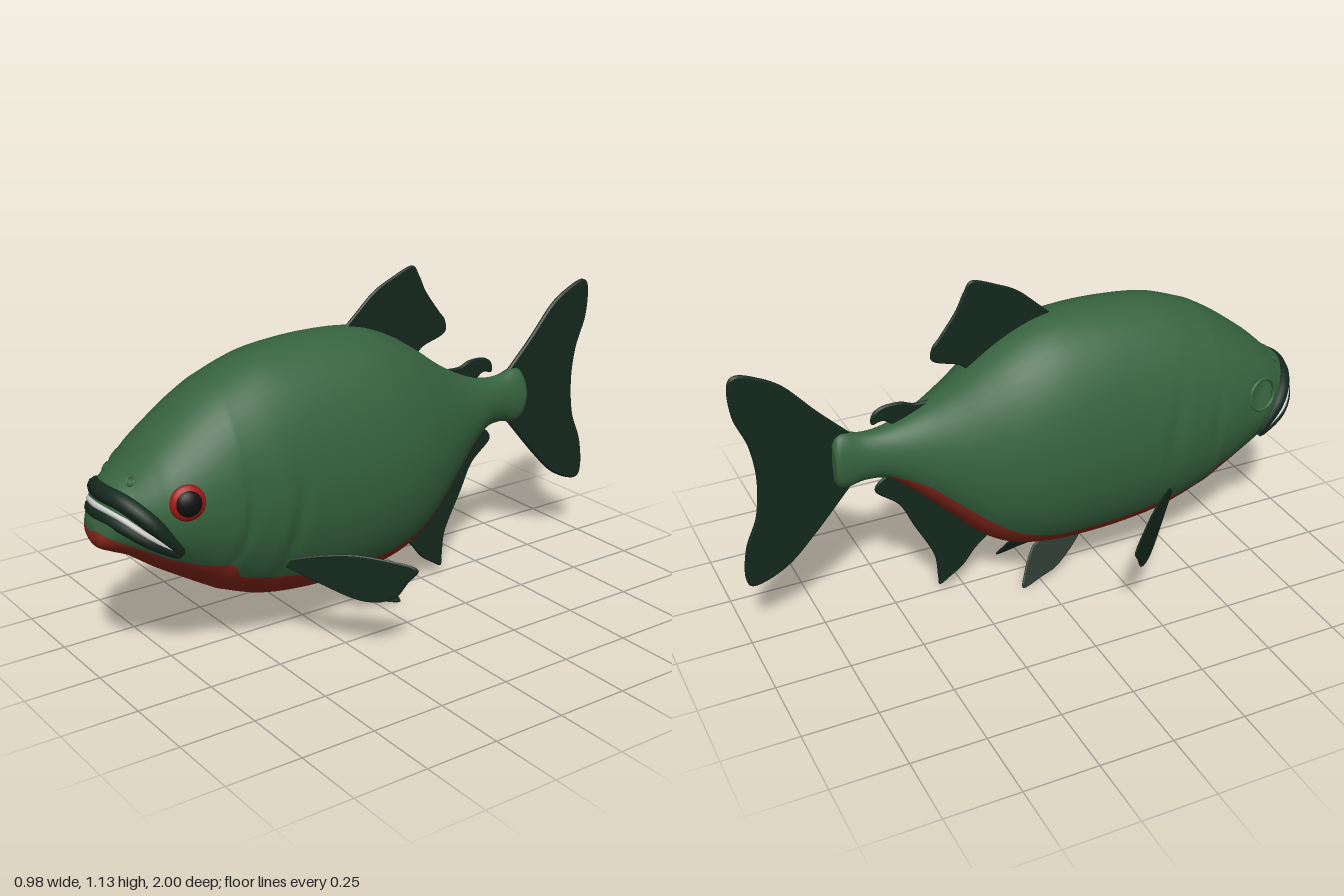
import * as THREE from 'three';

const mat = (color, side = THREE.FrontSide) =>
  new THREE.MeshStandardMaterial({ color, side, roughness: 0.8 });
const green = mat(0x36633f), red = mat(0x8f2a1c), dark = mat(0x14281c, THREE.DoubleSide);
const eyeRed = mat(0xa01515), black = mat(0x101010), white = mat(0xd8d8d8);

// Body stations, nose to tail: z, top y, bottom y, half width, y where the belly colour starts
const STATIONS = [
  [1.0, 0.52, 0.465, 0.04, 0.505], [0.985, 0.555, 0.44, 0.07, 0.495], [0.95, 0.635, 0.422, 0.11, 0.475],
  [0.9, 0.675, 0.4, 0.148, 0.45], [0.85, 0.722, 0.365, 0.178, 0.425], [0.8, 0.765, 0.33, 0.203, 0.4],
  [0.7, 0.84, 0.268, 0.23, 0.365], [0.62, 0.89, 0.22, 0.247, 0.35], [0.58, 0.91, 0.2, 0.25, 0.295],
  [0.45, 0.957, 0.152, 0.26, 0.265], [0.3, 0.977, 0.13, 0.264, 0.237], [0.15, 0.98, 0.125, 0.265, 0.225],
  [0.02, 0.965, 0.132, 0.257, 0.228], [-0.1, 0.917, 0.16, 0.235, 0.265], [-0.2, 0.855, 0.22, 0.2, 0.33],
  [-0.3, 0.785, 0.32, 0.155, 0.41], [-0.4, 0.73, 0.42, 0.105, 0.49], [-0.5, 0.695, 0.505, 0.066, 0.525],
  [-0.58, 0.69, 0.52, 0.048, 0.52], [-0.64, 0.707, 0.508, 0.045, 0.508], [-0.67, 0.7, 0.515, 0.045, 0.515],
  [-0.685, 0.675, 0.54, 0.04, 0.54],
];

const bump = (d, width) => Math.exp(-((d / width) ** 2));

// Gill creases and the hollow of the empty eye socket
function shapeSurface(x, y, z) {
  let f = 1;
  const sideOn = bump(y - 0.5, 0.17);
  f -= 0.045 * bump(z - 0.41 - 0.9 * (y - 0.53) ** 2, 0.018) * sideOn;
  f += 0.025 * bump(z - 0.46 - 0.9 * (y - 0.53) ** 2, 0.03) * sideOn;
  f -= 0.03 * bump(z - 0.58 - 1.5 * (y - 0.55) ** 2, 0.022) * sideOn;
  if (x < 0) f -= 0.09 * bump(Math.hypot(z - 0.78, y - 0.6), 0.04);
  return x * f;
}

// Lofted body, split into green back and red belly that share smooth normals
function makeBody() {
  const curve = (a, b) => new THREE.CatmullRomCurve3(
    STATIONS.map(s => new THREE.Vector3(s[0], s[a], s[b])), false, 'catmullrom', 0.5);
  const outline = curve(1, 2), girth = curve(3, 4);
  const rings = (STATIONS.length - 1) * 6, upper = 18, lower = 10;
  const half = upper + lower, n = half * 2;
  const pos = [], back = [], belly = [];
  for (let i = 0; i <= rings; i++) {
    const { x: z, y: top, z: bottom } = outline.getPoint(i / rings);
    const { y: w, z: split } = girth.getPoint(i / rings);
    const c = (top + bottom) / 2, b = (top - bottom) / 2;
    const edge = Math.acos(THREE.MathUtils.clamp((split - c) / b, -0.995, 0.995));
    for (let j = 0; j < n; j++) {
      const k = j <= half ? j : n - j;
      const a = k <= upper ? edge * k / upper : edge + (Math.PI - edge) * (k - upper) / lower;
      const y = c + b * Math.cos(a);
      const x = w * Math.sin(a) * (j <= half ? 1 : -1);
      pos.push(shapeSurface(x, y, z), y, z);
    }
  }
  const nose = pos.length / 3, end = nose + 1;
  pos.push(0, 0.495, 1.003, 0, 0.607, -0.688);
  for (let j = 0; j < n; j++) {
    const j2 = (j + 1) % n;
    const list = j >= upper && j < n - upper ? belly : back;
    list.push(nose, j2, j);
    back.push(end, rings * n + j, rings * n + j2);
    for (let i = 0; i < rings; i++) {
      const a = i * n + j, b = i * n + j2;
      list.push(a, b, a + n, b, b + n, a + n);
    }
  }
  const whole = new THREE.BufferGeometry();
  whole.setAttribute('position', new THREE.Float32BufferAttribute(pos, 3));
  whole.setIndex([...back, ...belly]);
  whole.computeVertexNormals();
  return [back, belly].map(index => whole.clone().setIndex(index));
}

// Thin fin cut from a smooth outline; corners listed in `sharp` stay pointed
function finPlate(points, thickness = 0.012) {
  const shape = new THREE.Shape();
  shape.moveTo(...points[0]);
  shape.splineThru(points.slice(1).map(p => new THREE.Vector2(...p)));
  shape.closePath();
  const bevel = thickness * 0.35;
  return new THREE.ExtrudeGeometry(shape, {
    depth: thickness - 2 * bevel, curveSegments: 40, bevelEnabled: true,
    bevelThickness: bevel, bevelSize: bevel, bevelOffset: -bevel, bevelSegments: 1,
  }).translate(0, 0, -thickness / 2 + bevel);
}
// Outline given as (z, y), standing in the plane of symmetry
const uprightFin = (points, t) => finPlate(points, t).rotateY(-Math.PI / 2);

function moveVertices(geometry, rule) {
  const p = geometry.attributes.position, v = new THREE.Vector3();
  for (let i = 0; i < p.count; i++) {
    rule(v.fromBufferAttribute(p, i), i);
    p.setXYZ(i, v.x, v.y, v.z);
  }
  geometry.computeVertexNormals();
  return geometry;
}

// Tube mirrored across x = 0 that thins out towards both mouth corners
function lip(halfPath, radius, tip) {
  const pts = [...halfPath.slice(1).reverse().map(([x, y, z]) => [-x, y, z]), ...halfPath];
  const curve = new THREE.CatmullRomCurve3(pts.map(p => new THREE.Vector3(...p)));
  const seg = 48, sides = 10;
  return moveVertices(new THREE.TubeGeometry(curve, seg, radius, sides), (v, i) => {
    const t = Math.floor(i / (sides + 1)) / seg;
    const c = curve.getPointAt(t);
    const k = tip + (1 - tip) * Math.sqrt(Math.sin(Math.PI * t));
    v.sub(c).multiplyScalar(k).add(c);
  });
}

export function createModel() {
  const fish = new THREE.Group();
  fish.name = 'fish';
  const add = (name, geometry, material, parent = fish) => {
    const mesh = new THREE.Mesh(geometry, material);
    mesh.name = name;
    parent.add(mesh);
    return mesh;
  };

  const [back, belly] = makeBody();
  add('back', back, green);
  add('belly', belly, red);

  // Mouth
  add('upperLip', lip([[0, 0.605, 0.945], [0.09, 0.593, 0.925], [0.16, 0.54, 0.875], [0.182, 0.43, 0.79]], 0.033, 0.3), dark);
  add('lowerLip', lip([[0, 0.545, 0.967], [0.09, 0.533, 0.943], [0.157, 0.487, 0.885], [0.18, 0.425, 0.795]], 0.028, 0.3), dark);
  add('teeth', lip([[0, 0.573, 0.977], [0.09, 0.562, 0.955], [0.168, 0.51, 0.896], [0.187, 0.435, 0.806]], 0.01, 0.3), white);

  // Left eye, and the bare socket on the right
  const eye = new THREE.Group();
  eye.name = 'leftEye';
  eye.position.set(0.205, 0.6, 0.78);
  eye.lookAt(1.205, 0.7, 1.0);
  fish.add(eye);
  add('iris', new THREE.SphereGeometry(0.056, 28, 16).scale(1, 1, 0.4), eyeRed, eye);
  add('pupil', new THREE.SphereGeometry(0.043, 28, 16).scale(1, 1, 0.6), black, eye).position.z = 0.006;
  const socket = add('rightEyeSocket', new THREE.TorusGeometry(0.056, 0.007, 8, 32), green);
  socket.position.set(-0.202, 0.6, 0.78);
  socket.lookAt(-1.202, 0.7, 1.0);

  // Nostrils
  for (const s of [1, -1]) {
    const nostril = add(s > 0 ? 'leftNostril' : 'rightNostril', new THREE.TorusGeometry(0.013, 0.004, 6, 16), green);
    nostril.position.set(s * 0.08, 0.655, 0.9);
    nostril.lookAt(s * 0.4, 1.3, 1.6);
  }

  // Fins on the centre line
  add('dorsalFin', uprightFin([[0.08, 0.965], [0.03, 1.01], [-0.04, 1.07], [-0.11, 1.105], [-0.195, 1.135],
    [-0.225, 1.1], [-0.255, 1.04], [-0.31, 0.965], [-0.337, 0.93], [-0.335, 0.885], [-0.25, 0.855],
    [-0.215, 0.83], [-0.18, 0.84], [-0.05, 0.91]]), dark);
  add('adiposeFin', uprightFin([[-0.33, 0.755], [-0.4, 0.752], [-0.45, 0.768], [-0.51, 0.767], [-0.545, 0.745],
    [-0.548, 0.71], [-0.51, 0.715], [-0.46, 0.69], [-0.36, 0.7]], 0.014), dark);
  add('tailFin', uprightFin([[-0.62, 0.7], [-0.72, 0.8], [-0.82, 0.91], [-0.9, 0.96], [-0.965, 0.98],
    [-0.992, 0.945], [-0.985, 0.84], [-0.945, 0.73], [-0.93, 0.61], [-0.943, 0.48], [-0.985, 0.37],
    [-0.997, 0.26], [-0.965, 0.222], [-0.86, 0.265], [-0.76, 0.36], [-0.62, 0.52]], 0.016), dark);
  add('analFin', uprightFin([[-0.13, 0.2], [-0.2, 0.145], [-0.25, 0.085], [-0.3, 0.05], [-0.338, 0.03],
    [-0.343, 0.07], [-0.355, 0.16], [-0.42, 0.29], [-0.47, 0.39], [-0.55, 0.465], [-0.49, 0.515],
    [-0.4, 0.45], [-0.25, 0.3]]), dark);

  // Paired fins, sheared outwards from the body
  const pelvic = moveVertices(uprightFin([[0.19, 0.135], [0.13, 0.085], [0.06, 0.04], [0, 0.022], [-0.075, 0.003],
    [-0.06, 0.045], [-0.025, 0.1], [0.01, 0.128], [0.1, 0.15]], 0.009),
  v => { v.x += 0.04 + (0.13 - v.y) * 0.56; });
  const pectoral = moveVertices(finPlate([[0.18, 0.315], [0.25, 0.342], [0.34, 0.356], [0.42, 0.345], [0.487, 0.32],
    [0.465, 0.27], [0.44, 0.22], [0.4, 0.2], [0.35, 0.208], [0.28, 0.25], [0.22, 0.29]], 0.009),
  v => { v.z += 0.4 - (v.x - 0.24) * 1.04; });
  for (const [side, s] of [['left', 1], ['right', -1]]) {
    add(side + 'PelvicFin', pelvic, dark).scale.x = s;
    add(side + 'PectoralFin', pectoral, dark).scale.x = s;
  }
  return fish;
}
